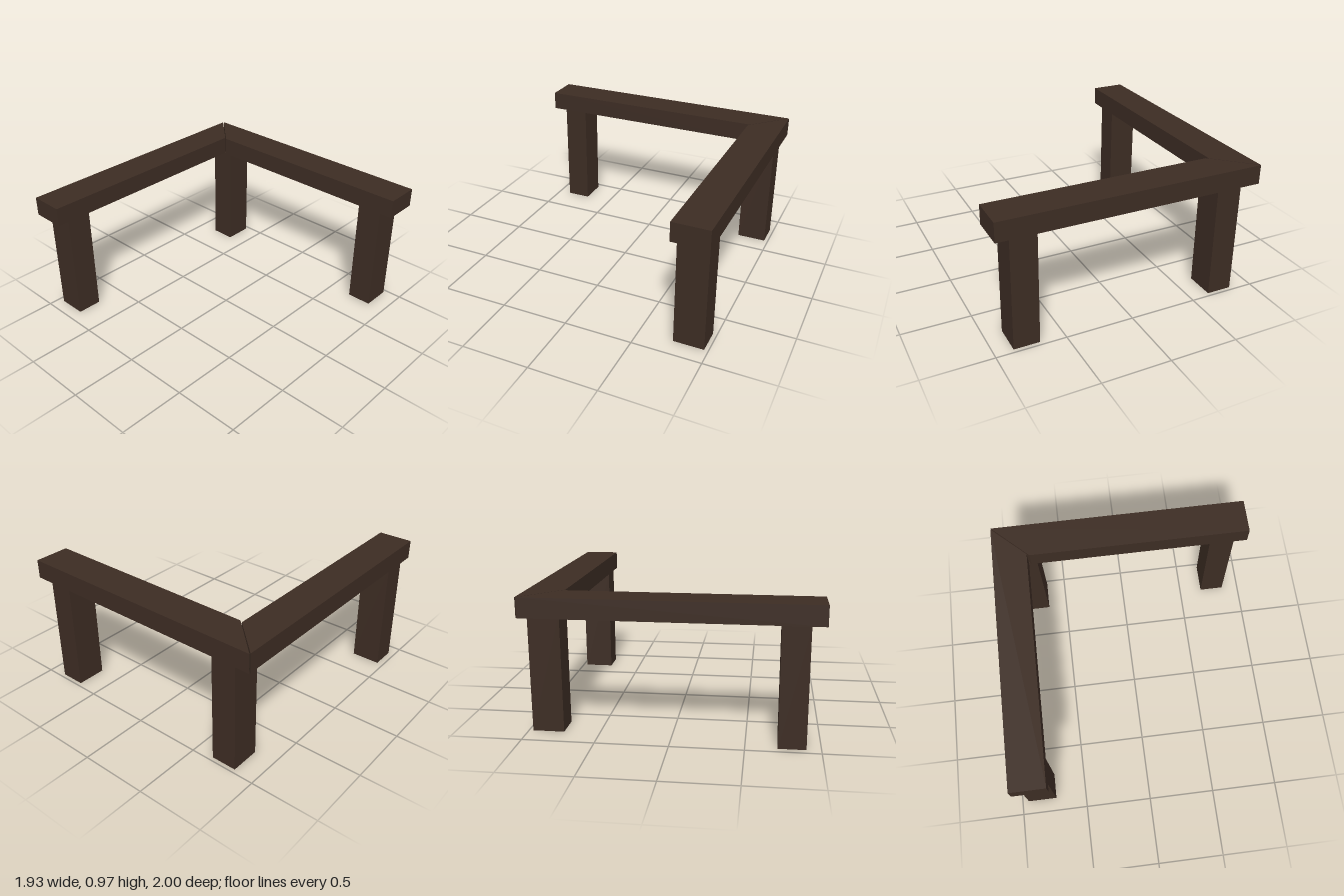
import * as THREE from 'three';

const BEAM_BOTTOM = 0.834, BEAM_TOP = 0.973;

export function createModel() {
  const model = new THREE.Group();
  model.name = 'cornerFrame';
  const darkWood = new THREE.MeshStandardMaterial({ color: 0x3c2c23 });
  darkWood.name = 'darkWood';

  // Horizontal beam extruded upward from its plan outline of [x, z] corners
  const addBeam = (name, plan) => {
    const shape = new THREE.Shape(plan.map(([x, z]) => new THREE.Vector2(x, -z)));
    const geometry = new THREE.ExtrudeGeometry(shape, { depth: BEAM_TOP - BEAM_BOTTOM, bevelEnabled: false });
    geometry.rotateX(-Math.PI / 2);
    const beam = new THREE.Mesh(geometry, darkWood);
    beam.name = name;
    beam.position.y = BEAM_BOTTOM;
    model.add(beam);
  };

  // Square-cut post standing on the ground
  const addLeg = (name, x0, x1, z0, z1) => {
    const leg = new THREE.Mesh(new THREE.BoxGeometry(x1 - x0, BEAM_BOTTOM, z1 - z0), darkWood);
    leg.name = name;
    leg.position.set((x0 + x1) / 2, BEAM_BOTTOM / 2, (z0 + z1) / 2);
    model.add(leg);
  };

  // Two beams meeting in a mitre with a narrow gap
  addBeam('backBeam', [[-0.965, -1], [-0.692, -0.738], [0.967, -0.738], [0.967, -1]]);
  addBeam('sideBeam', [[-0.967, -0.992], [-0.967, 1], [-0.712, 1], [-0.712, -0.75]]);

  // Legs at the corner and under both free ends
  addLeg('cornerLeg', -0.837, -0.65, -0.97, -0.75);
  addLeg('backLeg', 0.68, 0.867, -0.97, -0.75);
  addLeg('frontLeg', -0.952, -0.735, 0.715, 0.902);

  return model;
}
